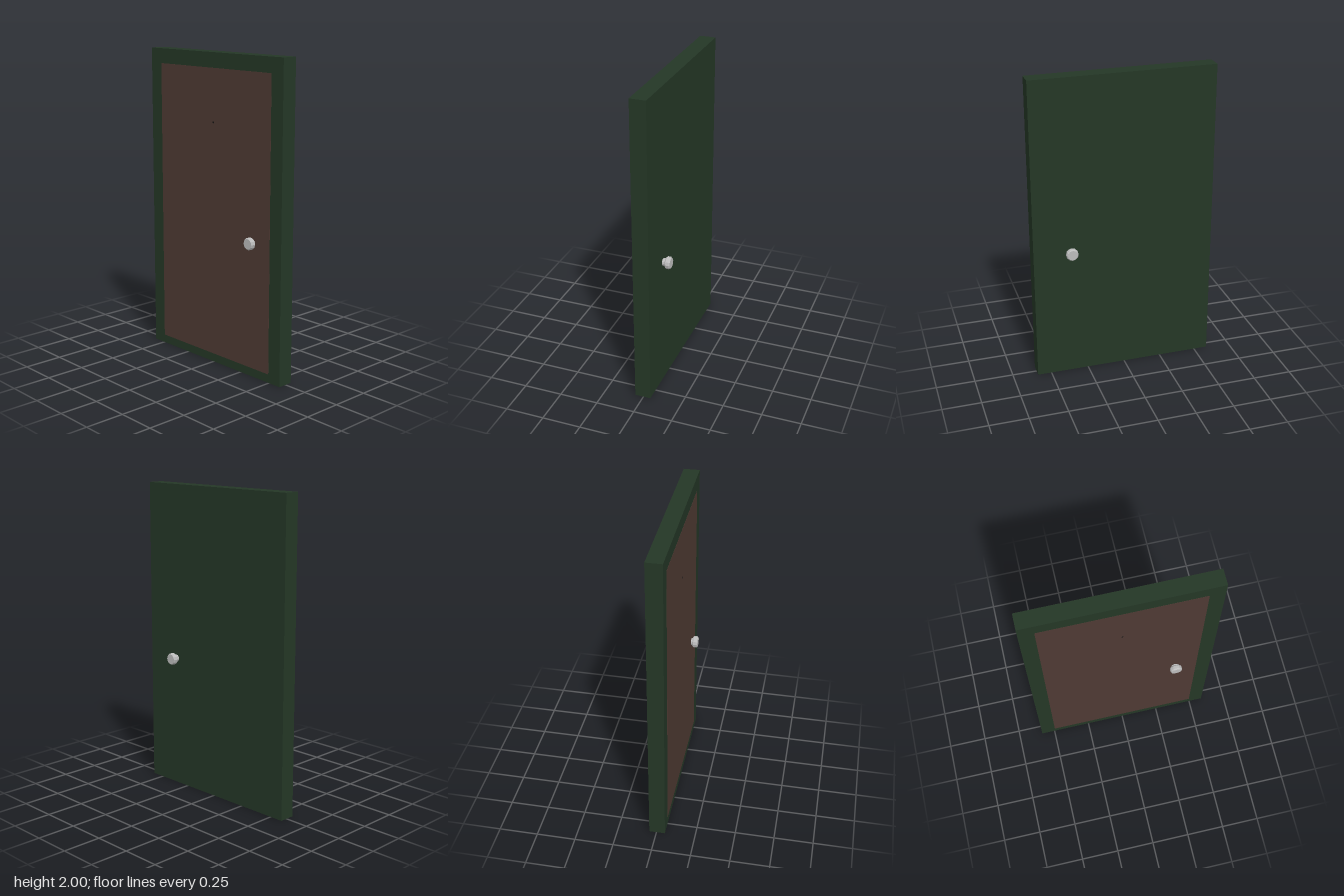
import * as THREE from 'three';

export function createModel() {
  const group = new THREE.Group();
  const mat = (name, color, flatShading = false) => {
    const m = new THREE.MeshStandardMaterial({ color, flatShading });
    m.name = name;
    return m;
  };
  const green = mat('dark green paint', 0x243726);
  const brown = mat('brown panel', 0x4f3a33);
  const metal = mat('grey metal', 0xbcbcbc, true);
  const black = mat('dark lens', 0x141414);

  const add = (name, geometry, material, x, y, z) => {
    const mesh = new THREE.Mesh(geometry, material);
    mesh.name = name;
    mesh.position.set(x, y, z);
    group.add(mesh);
    return mesh;
  };

  // Door slab, with the inner panel on the -x face
  const back = -0.055, front = 0.047;
  add('doorSlab', new THREE.BoxGeometry(front - back, 2, 1.18), green, (front + back) / 2, 1, 0);
  add('innerPanel', new THREE.BoxGeometry(0.002, 1.85, 0.99), brown, back, 0.98, 0);

  // Small peephole in the panel
  const lens = add('peephole', new THREE.CylinderGeometry(0.006, 0.006, 0.004, 8), black, back, 1.57, 0);
  lens.rotation.z = Math.PI / 2;

  // Matching knobs: narrow neck and a chamfered head
  const profile = [
    [0.024, 0.04], [0.024, 0.066], [0.033, 0.066], [0.039, 0.073],
    [0.039, 0.092], [0.033, 0.1], [0, 0.1],
  ].map(([r, h]) => new THREE.Vector2(r, h));
  const knobGeometry = new THREE.LatheGeometry(profile, 12);
  for (const side of [-1, 1]) {
    const knob = add(side > 0 ? 'outerKnob' : 'innerKnob', knobGeometry, metal, 0, 0.865, 0.35);
    knob.rotation.z = -side * Math.PI / 2;
  }
  return group;
}
